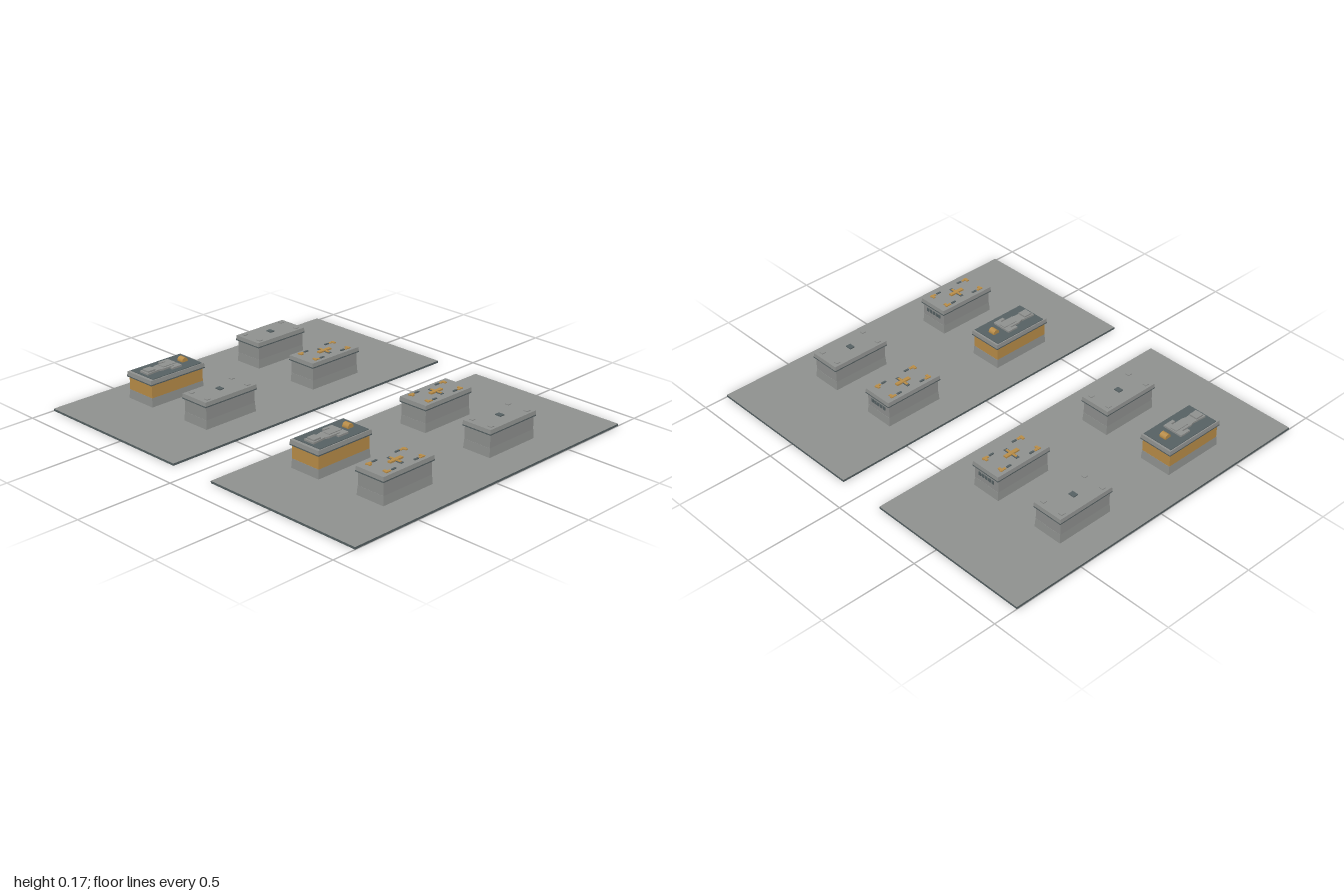
import * as THREE from 'three';

const mat = (name, color) => {
  const m = new THREE.MeshStandardMaterial({ color });
  m.name = name;
  return m;
};

export function createModel() {
  const stone = mat('grey stone', 0x8f918f);
  const slate = mat('dark slate', 0x566163);
  const gold = mat('old gold', 0xb98d48);
  const root = new THREE.Group();
  root.name = 'tombField';

  function add(parent, name, geometry, material, x = 0, y = 0, z = 0) {
    const m = new THREE.Mesh(geometry, material);
    m.name = name;
    m.position.set(x, y, z);
    parent.add(m);
    return m;
  }
  // Box standing on y0 and reaching y1
  const box = (parent, name, material, w, y0, y1, d, x = 0, z = 0) =>
    add(parent, name, new THREE.BoxGeometry(w, y1 - y0, d), material, x, (y0 + y1) / 2, z);

  // Box whose top is scaled, for sloped plinths and lids
  function taper(parent, name, material, w, y0, y1, d, inset) {
    const m = box(parent, name, material, w, y0, y1, d);
    const p = m.geometry.attributes.position;
    for (let i = 0; i < p.count; i++) {
      if (p.getY(i) > 0) {
        p.setX(i, p.getX(i) - Math.sign(p.getX(i)) * inset);
        p.setZ(i, p.getZ(i) - Math.sign(p.getZ(i)) * inset);
      }
    }
    m.geometry.computeVertexNormals();
    return m;
  }

  // Shared chest: plinth, wall, trim and lid
  function chest(name, x, z, w, d, wall) {
    const g = new THREE.Group();
    g.name = name;
    g.position.set(x, 0, z);
    root.add(g);
    taper(g, 'plinth', stone, w - 0.008, 0.011, 0.056, d - 0.01, 0.003);
    box(g, 'wall', wall, w - 0.014, 0.056, 0.122, d - 0.018);
    box(g, 'lidTrim', slate, w, 0.122, 0.128, d);
    taper(g, 'lid', stone, w, 0.128, 0.148, d, 0.002);
    return g;
  }

  // Small studs in the four corners of a lid
  function corners(g, name, material, x, z, w, d, y1) {
    for (const sx of [-1, 1]) for (const sz of [-1, 1])
      box(g, name, material, w, 0.147, y1, d, sx * x, sz * z);
  }

  function plainTomb(x, z) {
    const g = chest('plainTomb', x, z, 0.165, 0.32, stone);
    box(g, 'centreStud', slate, 0.032, 0.147, 0.153, 0.026);
    corners(g, 'cornerStud', stone, 0.055, 0.125, 0.022, 0.022, 0.152);
  }

  function crossTomb(x, z) {
    const g = chest('crossTomb', x, z, 0.165, 0.32, stone);
    box(g, 'crossBacking', slate, 0.084, 0.147, 0.151, 0.018);
    box(g, 'crossUpright', gold, 0.018, 0.147, 0.156, 0.08);
    box(g, 'crossArm', gold, 0.066, 0.147, 0.154, 0.011);
    corners(g, 'cornerOrnament', gold, 0.05, 0.112, 0.026, 0.013, 0.153);
    corners(g, 'cornerOrnamentTip', gold, 0.056, 0.106, 0.012, 0.032, 0.152);
    corners(g, 'lidClasp', slate, 0.056, 0.07, 0.009, 0.025, 0.153);
    // Row of dark vents on the rear end
    for (let i = -2; i <= 2; i++)
      add(g, 'rearVent', new THREE.BoxGeometry(0.014, 0.018, 0.005), slate, i * 0.021, 0.095, -0.152);
  }

  // Robed figure outline, mirrored about its centre line (z runs from shoulder to feet)
  const half = [[0, -0.056], [0.053, -0.056], [0.053, 0.004], [0.038, 0.004], [0.037, -0.024],
    [0.03, -0.024], [0.03, 0.04], [0.024, 0.06], [0.03, 0.136], [0, 0.136]];
  const outline = half.concat(half.slice(1, -1).reverse().map(([x, z]) => [-x, z]));
  const figureShape = new THREE.Shape(outline.map(([x, z]) => new THREE.Vector2(x, -z)));

  function effigyTomb(x, z) {
    const g = chest('effigyTomb', x, z, 0.18, 0.335, gold);
    box(g, 'lidPanel', slate, 0.165, 0.147, 0.151, 0.305, 0, -0.003);
    const robe = new THREE.ExtrudeGeometry(figureShape, { depth: 0.009, bevelEnabled: false });
    robe.rotateX(-Math.PI / 2);
    add(g, 'robedFigure', robe, stone, 0, 0.151, 0);
    // Raised folds and feet
    box(g, 'robeFold', stone, 0.036, 0.158, 0.164, 0.08, 0, -0.01);
    box(g, 'feet', stone, 0.044, 0.158, 0.168, 0.045, 0, 0.105);
    // Rounded head
    const head = new THREE.CylinderGeometry(0.018, 0.018, 0.036, 12);
    head.rotateZ(Math.PI / 2);
    add(g, 'head', head, gold, 0, 0.155, -0.105);
  }

  // Two ground slabs with dark rims
  for (const s of [-1, 1])
    box(root, 'groundSlab', [slate, slate, stone, stone, slate, slate], 0.875, 0, 0.011, 1.75, s * 0.5625, 0);

  for (const [x, z] of [[-0.765, 0.373], [0.36, 0.373]]) effigyTomb(x, z);
  for (const [x, z] of [[-0.765, -0.315], [-0.378, 0.372], [0.747, -0.315]]) plainTomb(x, z);
  for (const [x, z] of [[-0.378, -0.315], [0.36, -0.315], [0.747, 0.372]]) crossTomb(x, z);
  return root;
}
